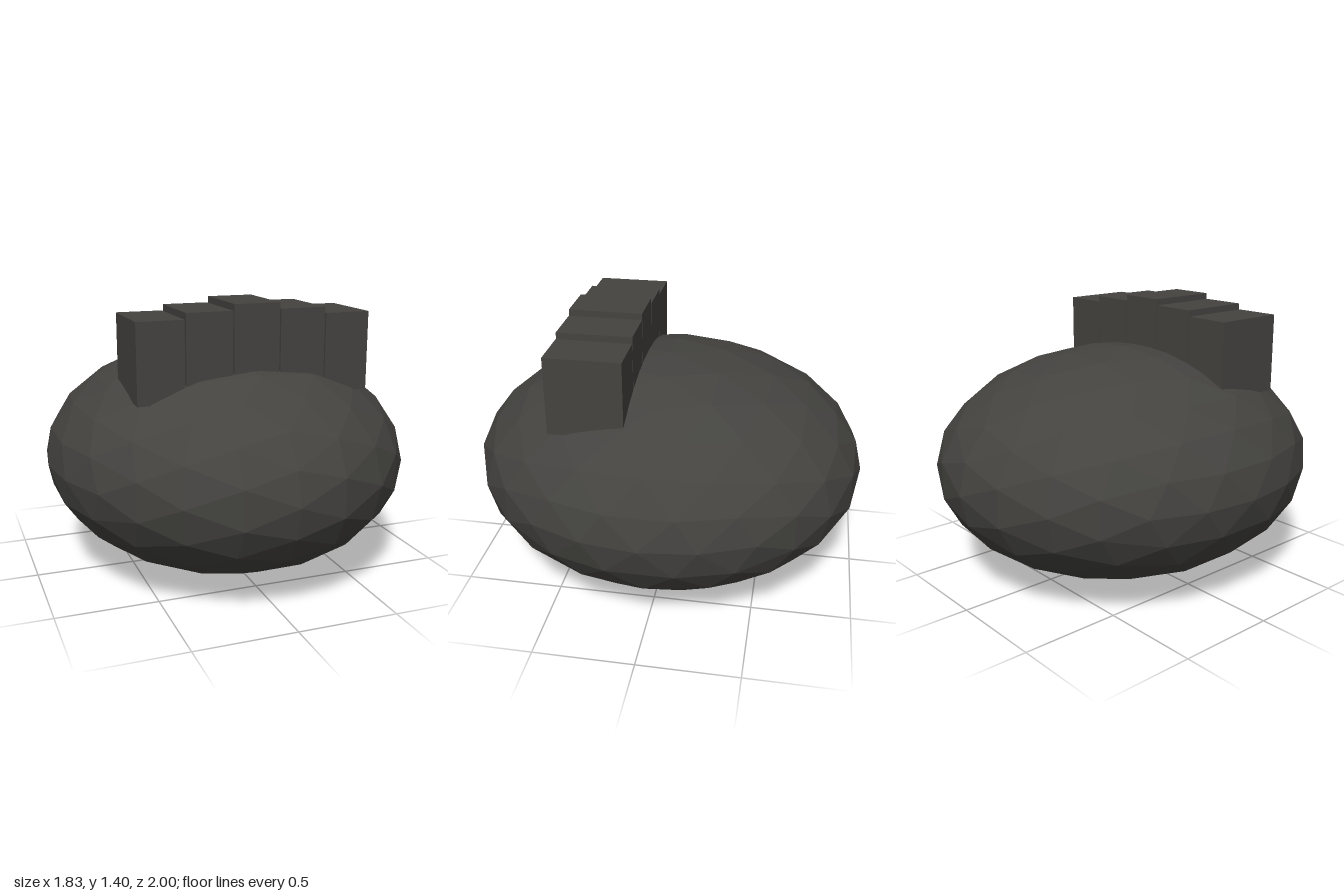
import * as THREE from 'three';

// Splits every triangle into four and pushes the corners back onto the unit sphere
function subdivide(triangles) {
  const mid = (p, q) => p.clone().add(q).normalize();
  return triangles.flatMap(([a, b, c]) => {
    const ab = mid(a, b), bc = mid(b, c), ca = mid(c, a);
    return [[a, ab, ca], [ab, b, bc], [ca, bc, c], [ab, bc, ca]];
  });
}

// Low-poly sphere made by halving the edges of an icosahedron repeatedly
function icosphere(levels) {
  const pos = new THREE.IcosahedronGeometry(1, 0).attributes.position;
  const corner = i => new THREE.Vector3().fromBufferAttribute(pos, i);
  let triangles = [];
  for (let i = 0; i < pos.count; i += 3) triangles.push([corner(i), corner(i + 1), corner(i + 2)]);
  for (let i = 0; i < levels; i++) triangles = subdivide(triangles);
  const geometry = new THREE.BufferGeometry().setFromPoints(triangles.flat());
  geometry.computeVertexNormals();
  return geometry;
}

export function createModel() {
  const model = new THREE.Group();
  const material = new THREE.MeshStandardMaterial({ color: 0x444340, flatShading: true });

  // Faceted ellipsoid body
  const bodyGeometry = icosphere(2);
  bodyGeometry.scale(0.917, 0.58, 1);
  bodyGeometry.translate(0, 0.58, 0);
  bodyGeometry.computeVertexNormals();
  const body = new THREE.Mesh(bodyGeometry, material);
  body.name = 'body';
  model.add(body);

  // Row of five blocks, stepping down from the middle one
  const blocks = new THREE.Group();
  blocks.name = 'blockRow';
  const height = 0.383;
  const blockGeometry = new THREE.BoxGeometry(0.226, height, 0.365);
  for (let i = -2; i <= 2; i++) {
    const block = new THREE.Mesh(blockGeometry, material);
    block.name = `block${i + 3}`;
    block.position.set(i * 0.2325, 1.4 - 0.03 * Math.abs(i) - height / 2, 0.302);
    blocks.add(block);
  }
  model.add(blocks);

  return model;
}
